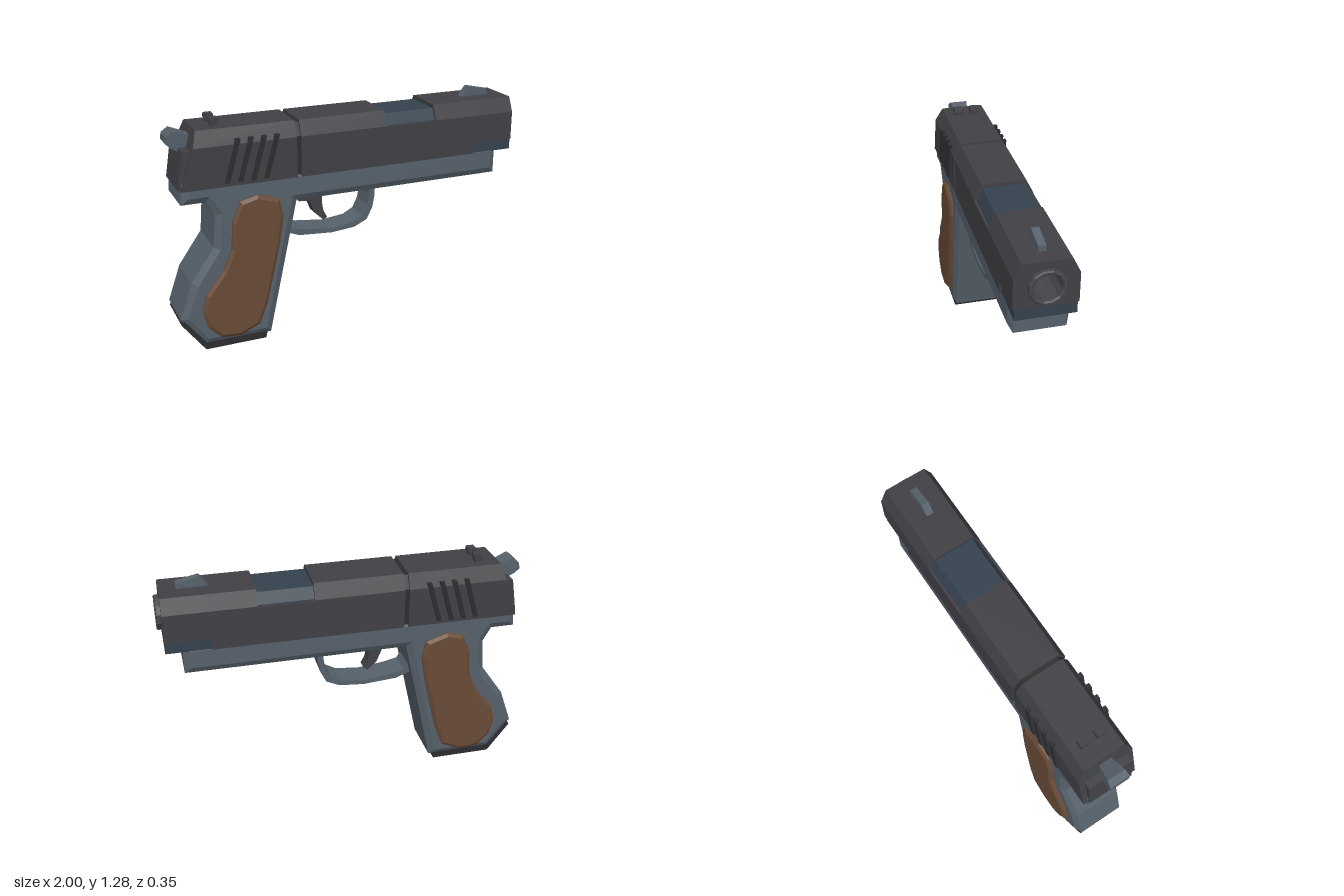
import * as THREE from 'three';

const mat = (color, side = THREE.FrontSide) =>
  new THREE.MeshStandardMaterial({ color, flatShading: true, side });
const STEEL = mat(0x404045), FRAME = mat(0x56616b), WOOD = mat(0x684a36);
const BLUED = mat(0x34414e), DARK = mat(0x2d2d31);

const shapeOf = (pts) => new THREE.Shape(pts.map(([x, y]) => new THREE.Vector2(x, y)));

export function createModel() {
  const model = new THREE.Group();
  const add = (name, geometry, material) => {
    const mesh = new THREE.Mesh(geometry, material);
    mesh.name = name;
    model.add(mesh);
    return mesh;
  };

  // Side outline (x, y) given thickness z0..z1, with an optional inward bevel
  const plate = (pts, z0, z1, size = 0, thick = size) => {
    const g = new THREE.ExtrudeGeometry(shapeOf(pts), {
      depth: z1 - z0 - 2 * thick, bevelEnabled: size > 0, bevelSegments: 1,
      bevelSize: size, bevelOffset: -size, bevelThickness: thick,
    });
    return g.translate(0, 0, z0 + thick);
  };

  // Cross-section (z, y) swept along the barrel from x0 to x1
  const sweep = (pts, x0, x1, holeRadius = 0) => {
    const shape = shapeOf(pts);
    if (holeRadius) {
      const hole = new THREE.Path();
      for (let i = 0; i < 12; i++) {
        const a = (i + 0.5) * Math.PI / 6;
        const x = Math.cos(a) * holeRadius, y = 1.09 + Math.sin(a) * holeRadius;
        if (i) hole.lineTo(x, y); else hole.moveTo(x, y);
      }
      hole.closePath();
      shape.holes.push(hole);
    }
    return new THREE.ExtrudeGeometry(shape, { depth: x1 - x0, bevelEnabled: false })
      .rotateY(Math.PI / 2).translate(x0, 0, 0);
  };
  const section = (bottom, inset = 0) => [
    [-0.16 + inset, bottom], [0.16 - inset, bottom], [0.16 - inset, 1.14],
    [0.12 - inset, 1.22 - inset], [-0.12 + inset, 1.22 - inset], [-0.16 + inset, 1.14],
  ];
  const rect = (w, y0, y1) => [[-w, y0], [w, y0], [w, y1], [-w, y1]];

  // Slide, front to back
  add('slideMuzzleEnd', sweep(section(0.98), 0.73, 0.97, 0.09), STEEL);
  add('slideFront', sweep(section(0.92), 0.48, 0.73), STEEL);
  add('slideUnderPort', sweep(rect(0.16, 0.92, 1.135), 0.18, 0.48), STEEL);
  add('slideMiddle', sweep(section(0.92), -0.31, 0.18), STEEL);
  add('slideSeam', sweep(section(0.93, 0.012), -0.335, -0.31), DARK);
  const rear = sweep(section(0.92), -0.95, -0.335);
  const p = rear.attributes.position;
  for (let i = 0; i < p.count; i++) {
    // Slant the back end
    if (p.getX(i) < -0.9) p.setX(i, -0.86 - (1.22 - p.getY(i)) * 0.32);
  }
  add('slideRear', rear, STEEL);
  add('slideBackPlate', plate([[-0.968, 0.92], [-0.8, 0.92], [-0.8, 1.12], [-0.935, 1.12]],
    -0.13, 0.13), STEEL);

  // Ejection port and recessed rail below the muzzle
  add('ejectionPort', sweep([[-0.145, 1.1], [0.145, 1.1], [0.145, 1.14], [0.113, 1.2],
    [-0.113, 1.2], [-0.145, 1.14]], 0.18, 0.48), BLUED);
  add('muzzleRail', sweep(rect(0.152, 0.92, 0.985), 0.73, 0.97), BLUED);

  // Hollow barrel with a protruding ring
  const barrelProfile = [[0.073, 0.74], [0.073, 0.99], [0.08, 0.997], [0.088, 0.997],
    [0.094, 0.99], [0.094, 0.965]].map(([r, h]) => new THREE.Vector2(r, h));
  add('barrel', new THREE.LatheGeometry(barrelProfile, 12, Math.PI / 12)
    .rotateZ(-Math.PI / 2).translate(0, 1.09, 0), mat(0x45464b, THREE.DoubleSide));

  // Slanted grip ribs on both sides of the slide
  for (const s of [-1, 1]) {
    for (let i = 0; i < 4; i++) {
      const x = -0.73 + i * 0.07;
      const z = s * 0.155;
      add('slideRib', plate([[x, 0.94], [x + 0.025, 0.94], [x + 0.09, 1.168], [x + 0.065, 1.168]],
        z - 0.015, z + 0.015), DARK);
    }
    // Rear sight posts
    add('rearSight', plate([[-0.765, 1.21], [-0.73, 1.21], [-0.73, 1.235], [-0.722, 1.24],
      [-0.726, 1.262], [-0.768, 1.262], [-0.772, 1.24], [-0.765, 1.235]],
      s * 0.048 - 0.024, s * 0.048 + 0.024), STEEL);
  }
  add('frontSight', plate([[0.71, 1.215], [0.88, 1.215], [0.88, 1.25], [0.757, 1.277]],
    -0.02, 0.02), FRAME);

  // Hammer, wider towards its spur
  const hammer = plate([[-0.84, 1.04], [-0.84, 1.17], [-0.885, 1.185], [-0.96, 1.212],
    [-0.995, 1.185], [-1, 1.15], [-0.975, 1.125], [-0.92, 1.09]], -0.5, 0.5);
  const h = hammer.attributes.position;
  for (let i = 0; i < h.count; i++) {
    h.setZ(i, h.getZ(i) * (0.06 + (-0.84 - h.getX(i)) * 0.35));
  }
  add('hammer', hammer, FRAME);

  // Frame with grip
  add('frame', plate([[0.88, 0.955], [-0.95, 0.955], [-0.96, 0.842], [-0.83, 0.842],
    [-0.785, 0.765], [-0.8, 0.585], [-0.93, 0.4], [-1, 0.2], [-0.87, 0.032],
    [-0.5, 0.032], [-0.335, 0.785], [0.88, 0.785]], -0.153, 0.153, 0.035, 0.02), FRAME);
  add('gripBase', plate([[-0.998, 0.17], [-0.872, 0], [-0.53, 0], [-0.52, 0.05],
    [-0.85, 0.05], [-0.975, 0.2]], -0.138, 0.138), DARK);

  // Wooden grip panels
  const panel = [[-0.655, 0.83], [-0.56, 0.855], [-0.44, 0.815], [-0.42, 0.72], [-0.445, 0.56],
    [-0.52, 0.24], [-0.57, 0.11], [-0.68, 0.06], [-0.79, 0.07], [-0.86, 0.14],
    [-0.885, 0.24], [-0.86, 0.33], [-0.76, 0.46], [-0.71, 0.57], [-0.7, 0.72]];
  add('rightGripPanel', plate(panel, 0.13, 0.176, 0.018, 0.012), WOOD);
  add('leftGripPanel', plate(panel, -0.176, -0.13, 0.018, 0.012), WOOD);

  // Trigger guard and trigger
  add('triggerGuard', plate([[0.155, 0.8], [0.152, 0.72], [0.138, 0.65], [0.105, 0.585],
    [0.03, 0.55], [-0.11, 0.538], [-0.3, 0.552], [-0.4, 0.59], [-0.37, 0.64], [-0.345, 0.6],
    [-0.27, 0.582], [-0.11, 0.563], [0.02, 0.578], [0.08, 0.61], [0.11, 0.67],
    [0.12, 0.73], [0.12, 0.8]], -0.073, 0.073), FRAME);
  add('trigger', plate([[-0.31, 0.8], [-0.145, 0.8], [-0.15, 0.71], [-0.142, 0.66],
    [-0.12, 0.62], [-0.142, 0.605], [-0.195, 0.655], [-0.225, 0.73], [-0.285, 0.735],
    [-0.31, 0.76]], -0.035, 0.035), STEEL);

  return model;
}
